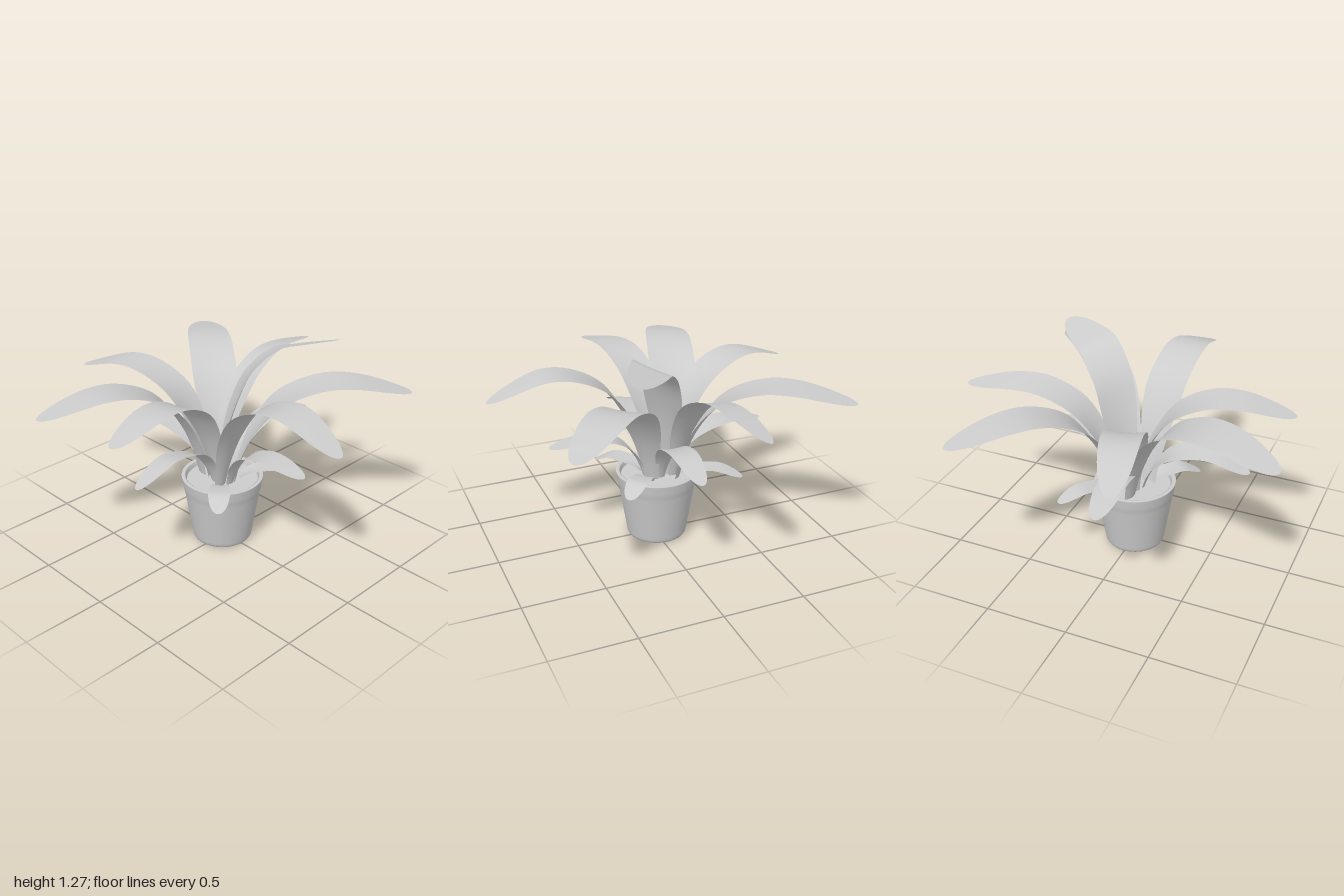
import * as THREE from 'three';

const POT_Z = -0.02;

// Each leaf: base x, z, tip x, z, peak height, tip height, width, sideways roll
const LARGE = [
  [-0.02, -0.10, -0.275, -0.98, 1.06, 0.96, 0.23, 0],
  [0.085, -0.13, 0.715, -0.945, 1.05, 0.99, 0.28, 0],
  [0.06, -0.11, 1.00, -0.235, 1.055, 1.00, 0.2, 0.2],
  [0.03, -0.07, 0.61, 0.35, 1.235, 1.25, 0.25, 0.35],
  [0.05, 0.04, 0.81, 0.755, 1.055, 0.98, 0.27, 0],
  [-0.07, 0.04, -0.12, 0.975, 1.10, 0.98, 0.25, 0],
  [-0.02, -0.05, -0.935, 0.11, 1.075, 1.01, 0.24, -0.06],
  [-0.04, -0.17, -1.00, -0.47, 1.065, 0.99, 0.29, -0.06],
];
const LOW = [
  [0.06, -0.02, 0.72, 0.01, 0.73, 0.67, 0.16, 0],
  [-0.01, 0.06, -0.02, 0.65, 0.705, 0.68, 0.17, 0],
  [-0.06, -0.02, -0.71, 0.02, 0.72, 0.63, 0.17, -0.2],
  [-0.01, -0.10, -0.08, -0.76, 0.67, 0.63, 0.17, 0],
];
const SMALL = [
  [0.07, 0.05, 0.31, 0.28, 0.485, 0.43, 0.13, 0],
  [-0.07, 0.04, -0.32, 0.27, 0.465, 0.41, 0.13, 0],
  [0.07, -0.12, 0.31, -0.45, 0.485, 0.44, 0.13, 0],
];

// Steep rise near the base, then a long drooping arch
const RISE = [[0, 0], [0.04, 0.25], [0.12, 0.54], [0.27, 0.83], [0.48, 0.98], [0.66, 1]];

function leafGeometry([bx, bz, tx, tz, peak, tipY, width, roll]) {
  const y0 = 0.38;
  const pts = RISE.map(([u, f]) => new THREE.Vector3(
    THREE.MathUtils.lerp(bx, tx, u), y0 + (peak - y0) * f, THREE.MathUtils.lerp(bz, tz, u)));
  pts.push(new THREE.Vector3(tx, tipY, tz));
  const spine = new THREE.CatmullRomCurve3(pts, false, 'centripetal');
  const out = new THREE.Vector3(tx - bx, 0, tz - bz).normalize();
  const side = new THREE.Vector3(out.z, -roll, -out.x).normalize();

  const geo = new THREE.PlaneGeometry(1, 1, 6, 40);
  const pos = geo.attributes.position;
  for (let i = 0; i < pos.count; i++) {
    const s = pos.getX(i) * 2;
    const t = Math.sin((pos.getY(i) + 0.5) * Math.PI / 2); // closer rows at the tip
    const grow = 0.32 + 0.68 * THREE.MathUtils.smoothstep(t, -0.05, 0.48);
    const e = Math.max(0, (t - 0.58) / 0.42);
    const half = width / 2 * grow * Math.sqrt(Math.max(0, 1 - Math.pow(e, 2.3)));
    const p = spine.getPointAt(Math.min(1, t));
    p.addScaledVector(side, s * half);
    // gentle channel that flattens out along the blade
    p.addScaledVector(out, -s * s * half * 0.3 * (1 - t));
    pos.setXYZ(i, p.x, p.y, p.z);
  }
  geo.computeVertexNormals();
  return geo;
}

export function createModel() {
  const group = new THREE.Group();
  const material = new THREE.MeshStandardMaterial({ color: 0xcccccc, side: THREE.DoubleSide });

  function add(name, geometry) {
    const mesh = new THREE.Mesh(geometry, material);
    mesh.name = name;
    group.add(mesh);
    return mesh;
  }

  // Tapered pot with a soft collar, thin lip and hollow top
  const profile = [
    [0, 0], [0.155, 0], [0.165, 0.001], [0.177, 0.006], [0.184, 0.018], [0.187, 0.035],
    [0.21, 0.18], [0.232, 0.32], [0.236, 0.34], [0.241, 0.358], [0.244, 0.375],
    [0.251, 0.426], [0.251, 0.432], [0.232, 0.432], [0.225, 0.427], [0.212, 0.36],
  ].map(([r, y]) => new THREE.Vector2(r, y));
  add('pot', new THREE.LatheGeometry(profile, 64)).position.z = POT_Z;

  // Soil disc
  const soil = add('soil', new THREE.CircleGeometry(0.22, 48));
  soil.rotation.x = -Math.PI / 2;
  soil.position.set(0, 0.4, POT_Z);

  // Three tiers of arching leaves
  for (const [name, tier] of [['largeLeaf', LARGE], ['lowLeaf', LOW], ['smallLeaf', SMALL]]) {
    tier.forEach((leaf, i) => add(name + (i + 1), leafGeometry(leaf)));
  }
  return group;
}
